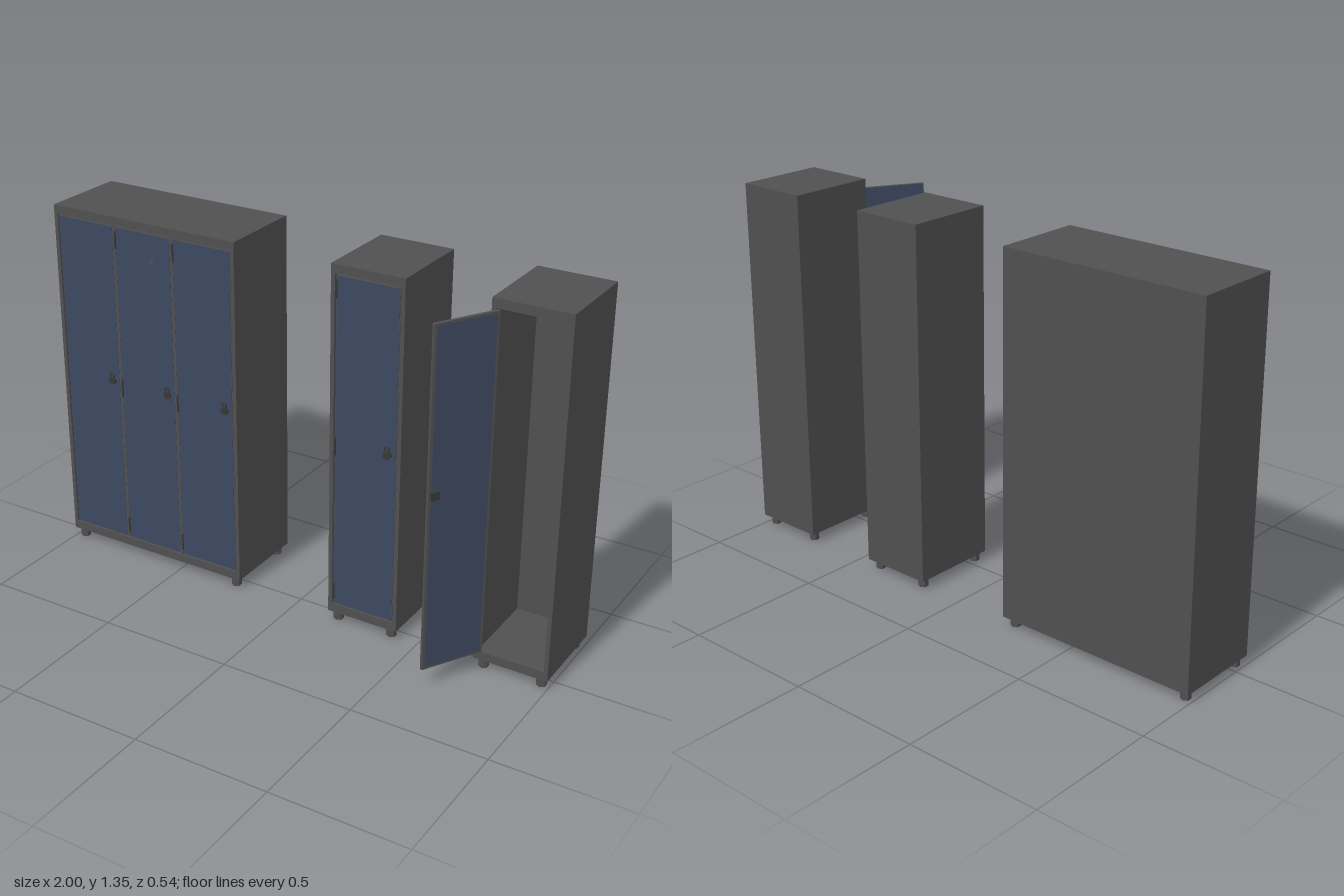
import * as THREE from 'three';

const mat = (name, color) => {
  const m = new THREE.MeshStandardMaterial({ color });
  m.name = name;
  return m;
};

export function createModel() {
  const steel = mat('grey steel', 0x505050);
  const paint = mat('blue paint', 0x3d4860);
  const dark = mat('dark metal', 0x383838);

  const add = (parent, name, geometry, material, x, y, z) => {
    const m = new THREE.Mesh(geometry, material);
    m.name = name;
    m.position.set(x, y, z);
    parent.add(m);
    return m;
  };
  // box given by its minimum and maximum corners
  const box = (parent, name, material, x0, x1, y0, y1, z0, z1) =>
    add(parent, name, new THREE.BoxGeometry(x1 - x0, y1 - y0, z1 - z0), material,
      (x0 + x1) / 2, (y0 + y1) / 2, (z0 + z1) / 2);

  const Y0 = 0.035, Y1 = 1.345, Z0 = -0.27, Z1 = 0.06;
  const WALL = 0.015, RAIL = 0.033, PITCH = 0.2475, DOOR_W = 0.238, DOOR_T = 0.014;
  const D0 = 0.07, D1 = 1.308;

  // handle: round lock body with a small ring above it
  function handle(parent, x, z, depth) {
    const g = new THREE.Group();
    g.name = 'handle';
    g.position.set(x, 0.713, z);
    parent.add(g);
    const body = new THREE.CylinderGeometry(0.015, 0.015, depth, 10).rotateX(Math.PI / 2);
    add(g, 'lockBody', body, dark, 0, 0, depth / 2);
    add(g, 'lockRing', new THREE.TorusGeometry(0.009, 0.003, 6, 12), dark, 0, 0.02, depth / 2);
  }

  // door: local x runs from the hinge, local z from inner to outer face
  function door(depth) {
    const g = new THREE.Group();
    g.name = 'door';
    box(g, 'doorCore', steel, 0, DOOR_W, D0, D1, 0.001, DOOR_T - 0.001);
    box(g, 'outerPanel', paint, 0.002, DOOR_W - 0.002, D0 + 0.002, D1 - 0.002, DOOR_T - 0.001, DOOR_T);
    box(g, 'innerPanel', paint, 0.01, DOOR_W - 0.01, D0 + 0.008, D1 - 0.008, 0, 0.001);
    box(g, 'latch', dark, 0.2, 0.232, 0.707, 0.737, -0.009, 0);
    handle(g, 0.206, DOOR_T, depth);
    return g;
  }

  // hollow cabinet with hexagonal feet and one bay per door
  function cabinet(name, x0, x1, bays) {
    const g = new THREE.Group();
    g.name = name;
    box(g, 'leftWall', steel, x0, x0 + WALL, Y0, Y1, Z0, Z1);
    box(g, 'rightWall', steel, x1 - WALL, x1, Y0, Y1, Z0, Z1);
    const a = x0 + WALL, b = x1 - WALL;
    box(g, 'floor', steel, a, b, Y0, Y0 + RAIL, Z0, Z1);
    box(g, 'roof', steel, a, b, Y1 - RAIL, Y1, Z0, Z1);
    box(g, 'backWall', steel, a, b, Y0 + RAIL, Y1 - RAIL, Z0, Z0 + WALL);
    for (let i = 1; i < bays; i++) {
      const x = a + i * PITCH - 0.00125;
      box(g, 'divider', steel, x - 0.005, x + 0.005, Y0 + RAIL, Y1 - RAIL, Z0 + WALL, Z1 - 0.003);
    }
    for (const x of [x0 + 0.03, x1 - 0.03])
      for (const z of [0.035, -0.237]) {
        const foot = new THREE.CylinderGeometry(0.0185, 0.0185, Y0, 6).toNonIndexed();
        foot.computeVertexNormals();
        add(g, 'foot', foot, steel, x, Y0 / 2, z);
      }
    return g;
  }

  // closed door, optionally with three hinge knuckles
  function closedDoor(parent, x, depth, hinged) {
    const d = door(depth);
    d.position.set(x, 0, 0.043);
    parent.add(d);
    if (!hinged) return;
    for (const y of [0.122, 0.69, 1.26])
      add(parent, 'hinge', new THREE.CylinderGeometry(0.004, 0.004, 0.065, 8), dark, x + 0.001, y, 0.057);
  }

  const model = new THREE.Group();
  model.name = 'lockers';

  const triple = cabinet('tripleLocker', -1, -0.23, 3);
  for (let i = 0; i < 3; i++) closedDoor(triple, -0.982 + i * PITCH, 0.007, i > 0);
  // small fitting high on the middle door
  add(triple, 'doorFitting', new THREE.CylinderGeometry(0.01, 0.01, 0.003, 6).rotateX(Math.PI / 2),
    steel, -0.575, 1.21, 0.0585);

  const single = cabinet('singleLocker', 0.15, 0.425, 1);
  closedDoor(single, 0.1685, 0.012, true);

  const open = cabinet('openLocker', 0.725, 1, 1);
  const swung = door(0.01);
  swung.position.set(0.757, 0, 0.061);
  swung.rotation.y = -Math.PI * 2 / 3;
  open.add(swung);

  model.add(triple, single, open);
  return model;
}
